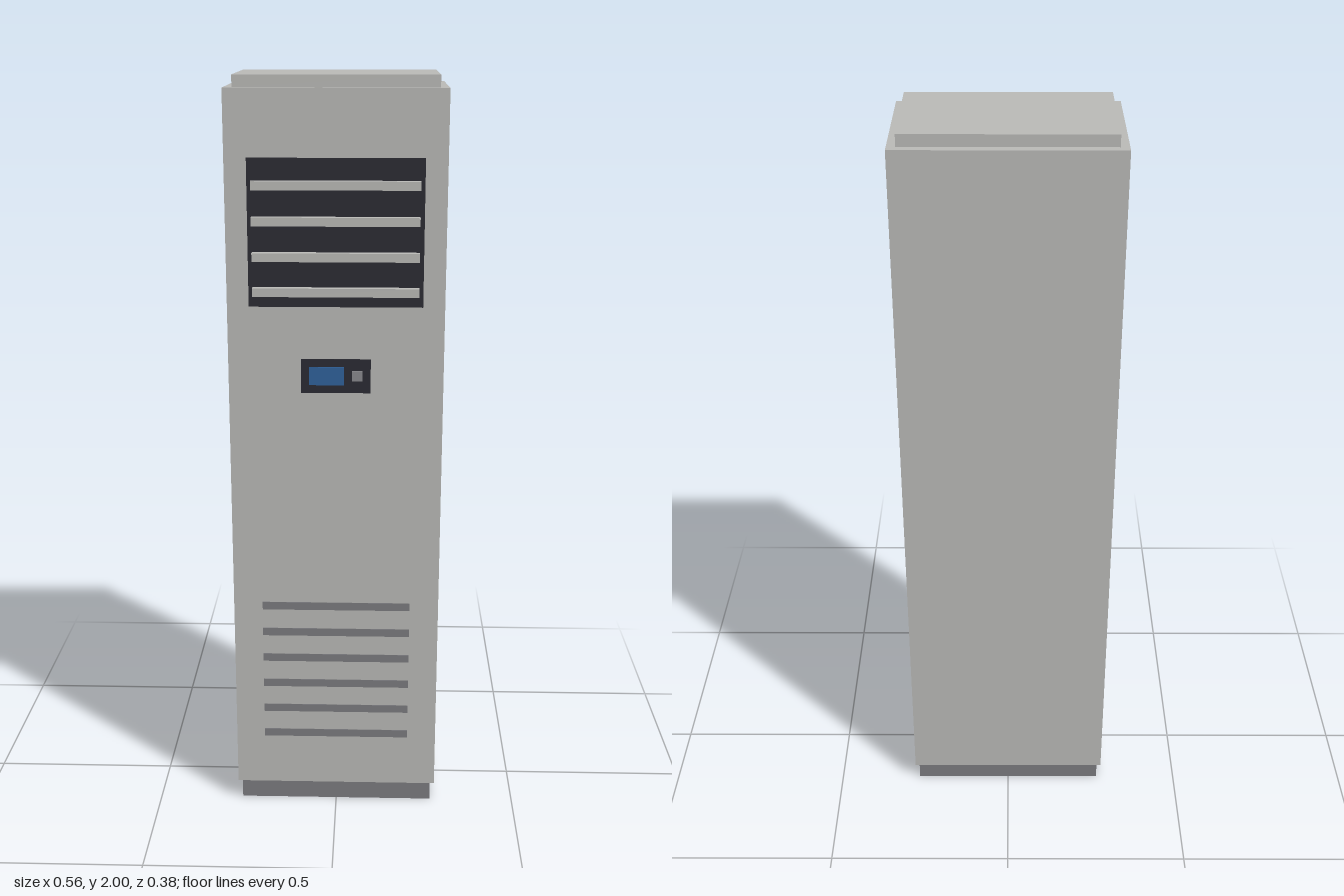
import * as THREE from 'three';

const mat = (name, color) => {
  const m = new THREE.MeshStandardMaterial({ color });
  m.name = name;
  return m;
};

export function createModel() {
  const shell = mat('shell grey', 0xb8b8b5);
  const plinth = mat('plinth grey', 0x7a7a7e);
  const dark = mat('vent black', 0x2a2a32);
  const blue = mat('screen blue', 0x2f6099);
  const buttonGrey = mat('button grey', 0x88888c);

  const group = new THREE.Group();
  group.name = 'floorStandingAirConditioner';

  // Box given by its lower and upper limits on each axis
  const box = (name, material, [x0, x1], [y0, y1], [z0, z1]) => {
    const mesh = new THREE.Mesh(new THREE.BoxGeometry(x1 - x0, y1 - y0, z1 - z0), material);
    mesh.position.set((x0 + x1) / 2, (y0 + y1) / 2, (z0 + z1) / 2);
    mesh.name = name;
    group.add(mesh);
  };

  const front = 0.166;

  // Cabinet
  box('base', plinth, [-0.267, 0.267], [0, 0.057], [-0.178, 0.155]);
  box('cabinet', shell, [-0.278, 0.278], [0.057, 1.97], [-0.189, front]);
  box('topCap', shell, [-0.256, 0.256], [1.97, 2], [-0.168, 0.143]);

  // Air outlet with four projecting louvres
  box('outletPanel', dark, [-0.222, 0.222], [1.43, 1.803], [front - 0.002, front + 0.002]);
  for (let i = 0; i < 4; i++) {
    const y = 1.47 + i * 0.089;
    box('louvre' + (i + 1), shell, [-0.211, 0.211], [y - 0.011, y + 0.011], [front, 0.188]);
  }

  // Control panel with screen and button
  box('controlPanel', dark, [-0.09, 0.09], [1.204, 1.294], [front - 0.002, front + 0.002]);
  box('screen', blue, [-0.069, 0.021], [1.225, 1.273], [front, front + 0.004]);
  box('button', buttonGrey, [0.042, 0.069], [1.236, 1.263], [front, front + 0.004]);

  // Intake slots
  for (let i = 0; i < 6; i++) {
    const y = 0.214 + i * 0.0774;
    box('intakeSlot' + (i + 1), plinth, [-0.2, 0.2], [y - 0.011, y + 0.011], [front - 0.002, front + 0.002]);
  }

  return group;
}
